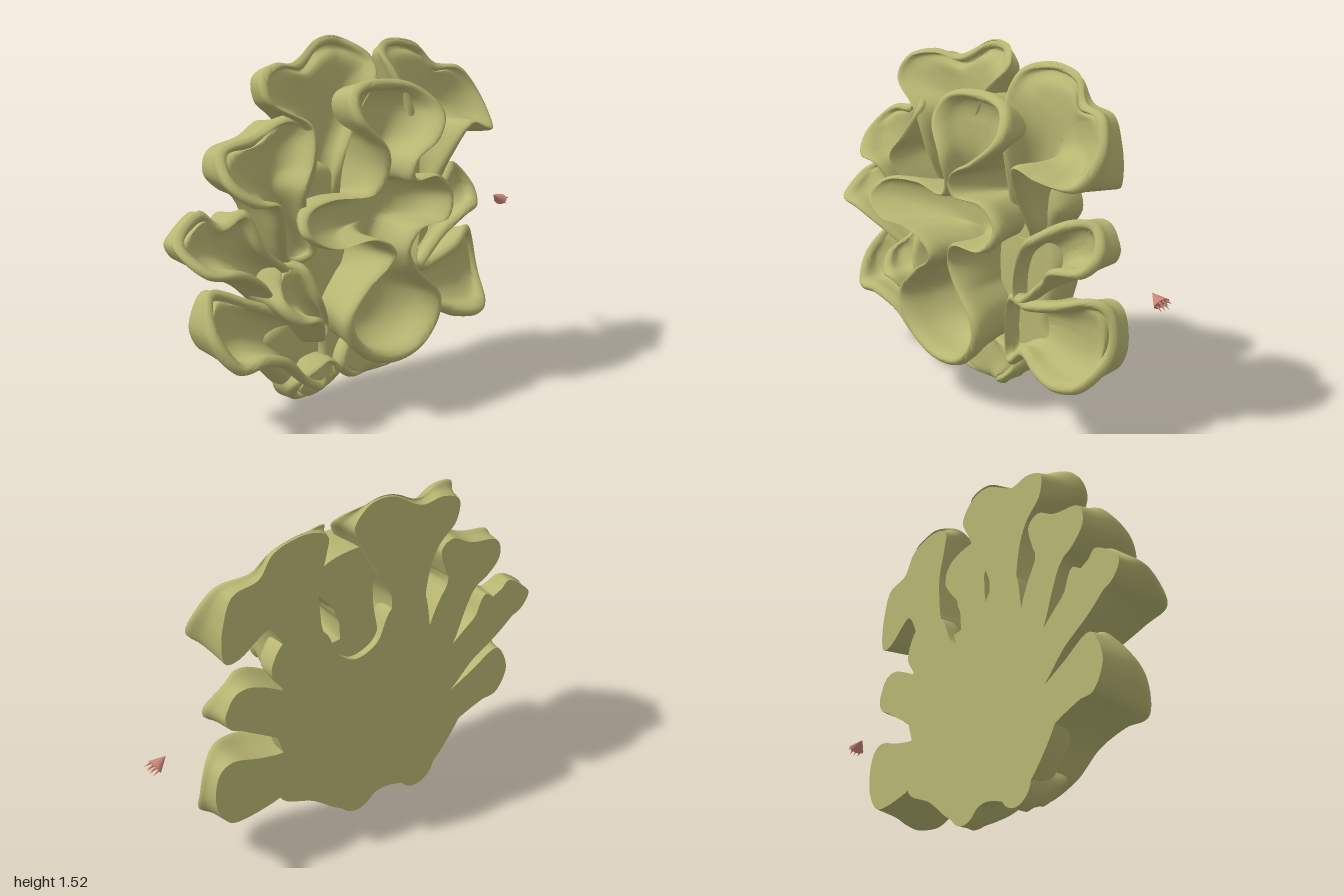
import * as THREE from 'three';
import { mergeVertices, toCreasedNormals } from 'three/addons/utils/BufferGeometryUtils.js';

const BACK = -0.2;
const V = (x, y, z = 0) => new THREE.Vector3(x, y, z);

const coral = new THREE.MeshStandardMaterial({ color: 0xb8b672, side: THREE.DoubleSide });
coral.name = 'olive coral';
const pink = new THREE.MeshStandardMaterial({ color: 0xcb857a });
pink.name = 'pink shell';

// A hollow, ruffled lobe. Rim rows are [x, y, z, place along the spine, foot spread], anticlockwise.
// Each cross-section runs: back of spine, foot, outer wall, rounded lip, throat.
function frond(name, spinePoints, throatZ, rows, back = BACK) {
  const spine = new THREE.CatmullRomCurve3(spinePoints.map(p => V(...p)));
  const rim = new THREE.CatmullRomCurve3(rows.map(r => V(r[0], r[1], r[2])), true, 'catmullrom', 0.5);
  const place = new THREE.CatmullRomCurve3(rows.map(r => V(r[3], r[4] ?? 1)), true, 'catmullrom', 0.5);
  const nu = rows.length * 7, nv = 24, pos = [], index = [];
  for (let i = 0; i < nu; i++) {
    const R = rim.getPoint(i / nu);
    R.z = Math.max(R.z, back + 0.02);
    const { x: along, y: spread } = place.getPoint(i / nu);
    const S = spine.getPoint(THREE.MathUtils.clamp(along, 0, 1));
    const dx = R.x - S.x, dy = R.y - S.y, len = Math.hypot(dx, dy) || 1;
    const slope = 0.96 - 0.32 * THREE.MathUtils.clamp((R.z + 0.18) / 0.35, 0, 1);
    const foot = Math.max(slope * spread, 0.1 / Math.max(len, 0.05));
    const lip = Math.min(0.024, len * 0.2);
    const at = (k, z) => V(S.x + dx * k, S.y + dy * k, Math.max(z, back));
    const rise = R.z - back, drop = R.z - throatZ;
    const section = new THREE.CatmullRomCurve3([
      at(foot, back),
      at(foot + (1 - foot) * 0.4, back + rise * 0.5),
      at(1, R.z - lip),
      at(1 - lip / len, R.z),
      at(1 - 2 * lip / len, R.z - lip),
      at(0.68, throatZ + drop * 0.42),
      at(0.38, throatZ + drop * 0.08),
      at(0, throatZ)
    ]);
    const pts = [V(S.x, S.y, back), ...section.getPoints(nv - 2)];
    pts.forEach(p => pos.push(p.x, p.y, Math.max(p.z, back)));
  }
  for (let i = 0; i < nu; i++) for (let j = 0; j < nv - 1; j++) {
    const a = i * nv + j, b = ((i + 1) % nu) * nv + j;
    index.push(a, b, b + 1, a, b + 1, a + 1);
  }
  const geo = new THREE.BufferGeometry();
  geo.setAttribute('position', new THREE.Float32BufferAttribute(pos, 3));
  geo.setIndex(index);
  const mesh = new THREE.Mesh(toCreasedNormals(geo, 1.0), coral);
  mesh.name = name;
  return mesh;
}

// Flat-backed trunk that joins all the lobes
function trunk() {
  const outline = [[-.35, .05], [-.15, .09], [.05, .07], [.24, .2], [.4, .29], [.36, .42], [.42, .66],
    [.38, .82], [.43, .92], [.36, 1.03], [.2, 1], [.12, .86], [.02, .8], [-.1, .84],
    [-.18, .98], [-.32, 1], [-.38, .78], [-.47, .64], [-.4, .52], [-.44, .4], [-.58, .32], [-.5, .17]];
  const curve = new THREE.CatmullRomCurve3(outline.map(p => V(...p)), true);
  const shape = new THREE.Shape(curve.getPoints(140).map(p => new THREE.Vector2(p.x, p.y)));
  const geo = new THREE.ExtrudeGeometry(shape, {
    depth: 0.04, bevelThickness: 0.08, bevelSize: 0.05, bevelOffset: -0.035, bevelSegments: 5
  });
  const p = geo.attributes.position;
  // press the rear bevel flat
  for (let i = 0; i < p.count; i++) p.setZ(i, Math.max(p.getZ(i), 0) + BACK);
  geo.deleteAttribute('uv');
  geo.deleteAttribute('normal');
  const mesh = new THREE.Mesh(toCreasedNormals(mergeVertices(geo), 0.9), coral);
  mesh.name = 'trunk';
  return mesh;
}

// Tiny crustacean floating beside the coral: tapered shell, trailing legs
function shrimp() {
  const g = new THREE.Group();
  g.name = 'shrimp';
  const shell = new THREE.Mesh(new THREE.ConeGeometry(0.038, 0.06, 10), pink);
  shell.name = 'shrimpShell';
  shell.scale.x = 0.7;
  g.add(shell);
  for (let i = 0; i < 6; i++) {
    const upper = i < 3;
    const leg = new THREE.Mesh(new THREE.ConeGeometry(0.007, 0.04, 5), pink);
    leg.name = 'shrimpLeg';
    leg.position.set(upper ? 0.016 : -0.008, -0.042, -0.02 + (i % 3) * 0.02);
    leg.rotation.z = Math.PI + (upper ? 0.3 : 0);
    g.add(leg);
  }
  g.rotation.z = 1.05;
  g.position.set(0.937, 0.678, -0.14);
  return g;
}

export function createModel() {
  const model = new THREE.Group();
  model.name = 'coralWithShrimp';
  model.add(trunk(), shrimp());

  // Meandering centre ribbon with its upper cup and lower pocket
  model.add(frond('centreRibbon', [[-.08, .36], [-.03, .62], [-.02, .85], [.03, 1.2]], -.05, [
    [-.1, .17, .18, 0], [.08, .19, .18, 0], [.2, .3, .18, .03], [.21, .42, .18, .13], [.1, .53, .17, .25],
    [.03, .64, .17, .36], [.1, .73, .19, .5], [.26, .74, .18, .58], [.32, .84, .15, .63], [.23, .93, .15, .69],
    [.07, .94, .17, .73], [.06, 1.02, .18, .82], [.2, 1.09, .18, .92], [.29, 1.2, .12, 1], [.2, 1.31, .03, 1],
    [0, 1.34, 0, 1], [-.17, 1.31, .04, 1], [-.2, 1.2, .1, 1], [-.1, 1.08, .14, .85], [-.08, .97, .12, .75],
    [-.15, .89, .1, .68], [-.35, .9, .08, .62], [-.52, .88, .12, .6], [-.57, .8, .18, .56], [-.45, .73, .2, .53],
    [-.24, .73, .2, .5], [-.1, .64, .19, .36], [-.24, .53, .18, .24], [-.35, .4, .18, .1], [-.27, .25, .18, .02]
  ], -0.17));

  // Tall fans at the top
  model.add(frond('upperRightFan', [[-.26, .75], [-.25, 1], [-.18, 1.27]], -.13, [
    [-.13, .78, -.1, 0], [-.165, 1, -.03, .4], [-.06, 1.2, -.04, .7], [.03, 1.35, -.03, .9], [.06, 1.44, -.1, 1],
    [-.04, 1.51, -.18, 1], [-.16, 1.51, -.18, 1], [-.32, 1.43, -.14, 1], [-.46, 1.44, -.1, 1], [-.58, 1.4, -.05, 1],
    [-.59, 1.3, 0, .95], [-.43, 1.2, .03, .8, 1.2], [-.38, 1.03, 0, .45], [-.37, .85, -.08, .1], [-.26, .7, -.1, 0]
  ]));
  model.add(frond('upperLeftFan', [[.25, .75], [.29, 1], [.42, 1.25]], -.14, [
    [.35, .8, -.02, 0], [.38, .98, .08, .4, 1.2], [.43, 1.12, .15, .75, 1.5], [.55, 1.08, .13, .95, 1.9],
    [.68, 1.07, .06, 1, 1.3], [.71, 1.2, -.04, 1], [.64, 1.33, -.1, 1], [.5, 1.36, -.13, 1], [.42, 1.45, -.17, 1],
    [.27, 1.48, -.18, 1], [.14, 1.45, -.12, 1], [.13, 1.36, -.04, .95], [.17, 1.2, .02, .75],
    [.17, .95, -.02, .35], [.15, .75, -.08, 0]
  ]));

  // Lobes on the model's right side
  model.add(frond('rightHighLobe', [[-.42, .7], [-.51, .87], [-.6, 1.05]], -.08, [
    [-.35, .66, 0, 0], [-.44, .85, .05, .4], [-.49, .98, .1, .65], [-.42, 1.08, .08, .85], [-.38, 1.2, .03, 1],
    [-.47, 1.24, -.03, 1], [-.6, 1.17, -.08, 1], [-.77, 1.13, -.08, 1], [-.82, 1.02, .02, 1], [-.75, .93, .1, .9],
    [-.64, .91, .09, .6], [-.57, .78, .03, .25], [-.47, .63, -.05, 0]
  ]));
  model.add(frond('rightMiddleLobe', [[-.45, .5], [-.65, .65], [-.82, .77]], -.12, [
    [-.4, .56, -.06, 0], [-.6, .72, 0, .5], [-.68, .89, -.03, .8], [-.77, .84, -.08, .9], [-.84, .9, -.12, 1],
    [-.95, .83, -.12, 1], [-1, .77, -.05, 1], [-.95, .68, .07, 1], [-.8, .65, .08, .8], [-.65, .57, .03, .5],
    [-.48, .43, -.08, 0]
  ]));
  model.add(frond('rightLowLobe', [[-.35, .2], [-.55, .34], [-.76, .42]], -.1, [
    [-.26, .32, -.05, 0], [-.48, .44, -.02, .4], [-.64, .51, -.05, .7], [-.78, .57, -.12, 1], [-.85, .52, -.08, 1],
    [-.89, .4, 0, 1], [-.82, .27, .07, 1], [-.68, .27, .08, .8], [-.54, .22, .06, .5], [-.42, .11, .03, .2],
    [-.28, .07, -.02, 0]
  ]));
  model.add(frond('rightSmallLobe', [[-.35, .36], [-.42, .46], [-.5, .54]], -.03, [
    [-.28, .34, 0, 0], [-.37, .48, .06, .5], [-.41, .62, .02, 1], [-.48, .64, -.05, 1], [-.54, .58, -.02, 1],
    [-.6, .5, .06, 1], [-.55, .42, .12, .8], [-.45, .41, .13, .5], [-.36, .3, .05, 0]
  ], -0.15));

  // Lobes on the model's left side
  model.add(frond('leftMiddleLobe', [[.25, .58], [.42, .71], [.56, .8]], -.12, [
    [.25, .47, 0, 0], [.42, .59, 0, .4], [.52, .68, .04, .7], [.65, .7, 0, 1], [.69, .79, -.06, 1],
    [.62, .89, -.1, 1], [.52, .9, -.05, .9], [.39, .83, 0, .6], [.27, .73, 0, .1]
  ]));
  model.add(frond('leftLowLobe', [[.2, .36], [.4, .41], [.59, .41]], -.1, [
    [.2, .2, 0, 0], [.33, .27, .03, .35], [.45, .23, .06, .7], [.58, .21, .07, .95], [.69, .24, .02, 1],
    [.75, .38, -.08, 1], [.73, .54, -.1, 1], [.65, .6, -.06, 1], [.5, .56, 0, .75], [.32, .51, 0, .3], [.2, .5, 0, 0]
  ]));

  // Knobbly lobes at the bottom
  model.add(frond('bottomRightKnob', [[-.31, .18], [-.33, .14], [-.34, .1]], -.03, [
    [-.36, 0, -.12, 1], [-.26, .04, -.06, 1], [-.23, .14, .02, .4], [-.3, .2, .02, 0], [-.4, .17, .02, .3],
    [-.45, .09, -.04, .9]
  ]));
  model.add(frond('bottomCentreKnob', [[0, .24], [0, .18], [0, .12]], -.05, [
    [.03, .03, -.1, 1], [.14, .08, -.02, 1], [.25, .2, -.02, .5], [.1, .27, -.03, 0], [-.12, .27, -.03, 0],
    [-.22, .15, 0, .6], [-.12, .06, -.04, 1]
  ]));
  return model;
}
